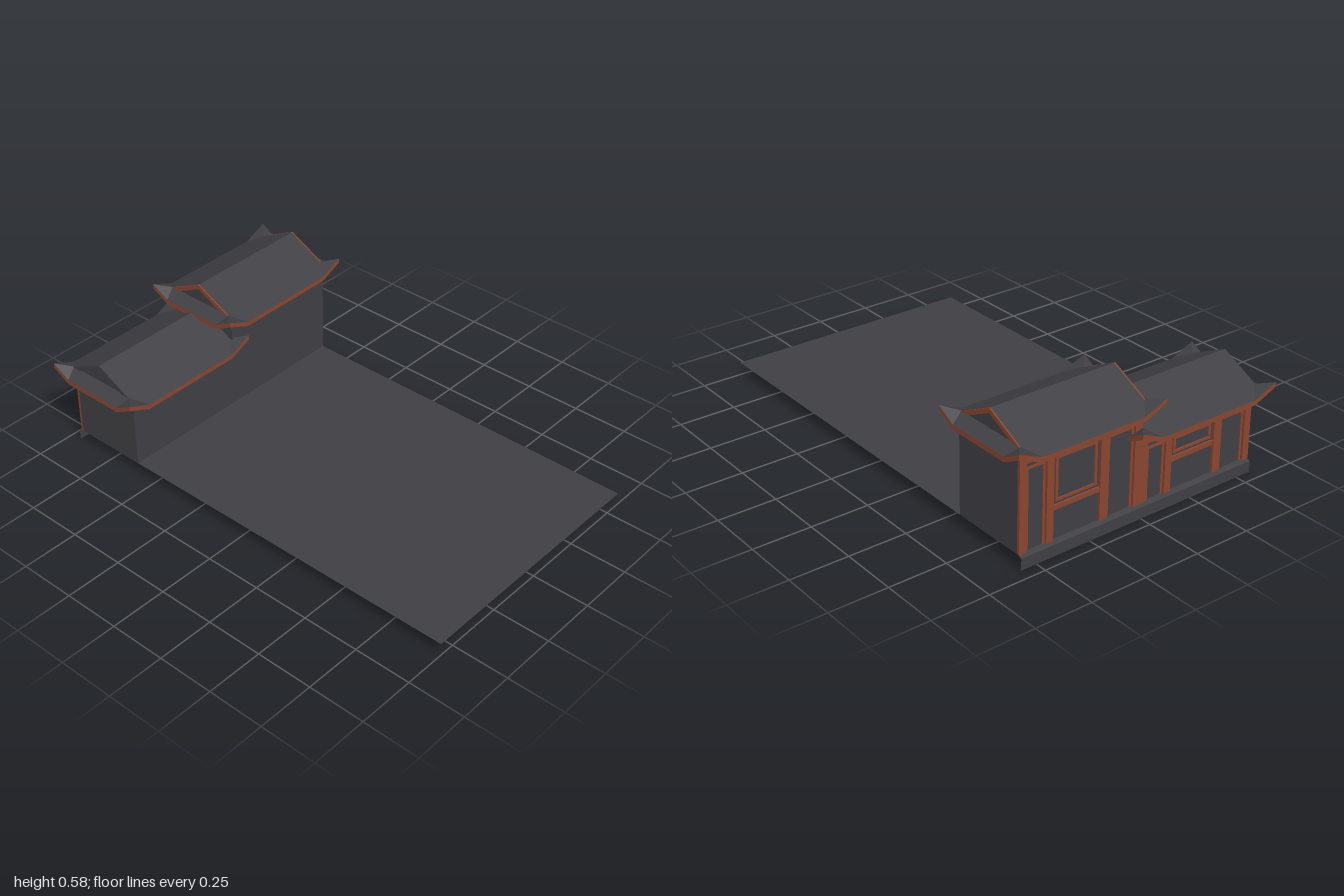
import * as THREE from 'three';

const DS = THREE.DoubleSide;
const slate = new THREE.MeshStandardMaterial({ color: 0x403f44, side: DS });
slate.name = 'slate grey';
const timber = new THREE.MeshStandardMaterial({ color: 0x8a4631, side: DS });
timber.name = 'red brown timber';

const GROUND = 0.057;

// Flat-faced mesh from a list of convex polygons
function faces(name, polygons, material) {
  const pos = [];
  for (const p of polygons) {
    for (let i = 1; i < p.length - 1; i++) pos.push(...p[0], ...p[i], ...p[i + 1]);
  }
  const g = new THREE.BufferGeometry();
  g.setAttribute('position', new THREE.Float32BufferAttribute(pos, 3));
  g.computeVertexNormals();
  const m = new THREE.Mesh(g, material);
  m.name = name;
  return m;
}

// Box given by its limits
function box(name, x0, x1, y0, y1, z0, z1, material) {
  const m = new THREE.Mesh(new THREE.BoxGeometry(x1 - x0, y1 - y0, z1 - z0), material);
  m.position.set((x0 + x1) / 2, (y0 + y1) / 2, (z0 + z1) / 2);
  m.name = name;
  return m;
}

// Hip-and-gable roof with upturned corners; y is measured from the eave
function createRoof(trimMaterial) {
  const roof = new THREE.Group();
  roof.name = 'roof';
  const R = (sz) => [0, 0.113, 0.285 * sz];
  const G = (sx, sz) => [0.167 * sx, 0.03, 0.285 * sz];
  const E = (sx, sz) => [0.228 * sx, 0, 0.235 * sz];
  const F = (sx, sz) => [0.145 * sx, 0, 0.34 * sz];
  const C = (sx, sz) => [0.228 * sx, 0.045, 0.34 * sz];

  const tiles = [], gables = [];
  const add = (list, flip, p) => list.push(flip ? p.reverse() : p);
  for (const s of [1, -1]) {
    add(tiles, s < 0, [R(1), G(s, 1), E(s, 1), E(s, -1), G(s, -1), R(-1)]);
    add(tiles, s < 0, [G(1, s), G(-1, s), F(-1, s), F(1, s)]);
    add(gables, s < 0, [R(s), G(-1, s), G(1, s)]);
    for (const t of [1, -1]) {
      add(tiles, s * t < 0, [G(s, t), F(s, t), C(s, t)]);
      add(tiles, s * t < 0, [G(s, t), C(s, t), E(s, t)]);
    }
  }
  roof.add(faces('roofTiles', tiles, slate), faces('gableWalls', gables, slate));

  // Eave band and soffit follow the same outline
  const outline = [
    F(-1, 1), F(1, 1), C(1, 1), E(1, 1), E(1, -1), C(1, -1),
    F(1, -1), F(-1, -1), C(-1, -1), E(-1, -1), E(-1, 1), C(-1, 1),
  ];
  const low = (p) => [p[0], p[1] - 0.021, p[2]];
  const band = [], soffit = [];
  outline.forEach((p, i) => {
    const q = outline[(i + 1) % outline.length];
    band.push([low(p), low(q), q, p]);
    soffit.push([[0, -0.021, 0], low(q), low(p)]);
  });
  roof.add(faces('eaveBand', band, timber), faces('soffit', soffit, timber));

  // Rake boards on both gables
  const shape = new THREE.Shape();
  [[-0.167, 0.03], [-0.125, 0.03], [0, 0.092], [0.125, 0.03], [0.167, 0.03], [0, 0.113]]
    .forEach(([x, y], i) => (i ? shape.lineTo(x, y) : shape.moveTo(x, y)));
  for (const s of [1, -1]) {
    const g = new THREE.ExtrudeGeometry(shape, { depth: 0.006, bevelEnabled: false });
    const rake = new THREE.Mesh(g, s > 0 ? trimMaterial : timber);
    rake.position.z = s > 0 ? 0.285 : -0.291;
    rake.name = 'rakeBoard';
    roof.add(rake);
  }
  return roof;
}

// House: walls, timber street front on the -x side, and roof
function createHouse(name, z, eave, trimMaterial) {
  const house = new THREE.Group();
  house.name = name;
  const top = eave - 0.021;
  house.add(box('walls', -0.925, -0.59, GROUND, top, -0.285, 0.285, slate));

  const front = new THREE.Group();
  front.name = 'streetFront';
  const bar = (label, y0, y1, z0, z1, d) =>
    front.add(box(label, -0.925 - d, -0.92, y0, y1, z0 - 0.285, z1 - 0.285, timber));
  for (const c of [0.016, 0.14, 0.39, 0.554]) bar('post', GROUND, top, c - 0.016, c + 0.016, 0.012);
  bar('topBeam', top - 0.03, top, 0, 0.57, 0.008);
  bar('middleRail', 0.18, 0.2, 0.156, 0.374, 0.008);
  // Window frame in the middle bay
  bar('windowHead', top - 0.06, top - 0.048, 0.168, 0.362, 0.006);
  bar('windowSill', 0.212, 0.222, 0.168, 0.362, 0.006);
  for (const c of [0.174, 0.356]) bar('windowSide', 0.212, top - 0.048, c - 0.006, c + 0.006, 0.006);
  // Door frames in the narrow bays
  for (const [a, b] of [[0.04, 0.116], [0.416, 0.53]]) {
    for (const c of [a, b]) bar('doorSide', GROUND, top - 0.048, c - 0.005, c + 0.005, 0.005);
    bar('doorHead', top - 0.058, top - 0.048, a, b, 0.005);
  }
  house.add(front);

  const roof = createRoof(trimMaterial);
  roof.position.set(-0.772, eave, 0);
  house.add(roof);
  house.position.z = z;
  return house;
}

export function createModel() {
  const model = new THREE.Group();
  model.name = 'streetHouses';

  // Ground sheet with a kerb dropping along the street
  const a = 0.57;
  const strip = (x0, y0, x1, y1) => [[x0, y0, -a], [x0, y0, a], [x1, y1, a], [x1, y1, -a]];
  model.add(faces('ground', [strip(-0.93, GROUND, 1, GROUND)], slate));
  model.add(faces('kerb', [
    strip(-0.95, 0.049, -0.93, GROUND),
    strip(-0.95, 0, -0.95, 0.049),
  ], slate));

  model.add(createHouse('tallHouse', -0.285, 0.465, timber));
  model.add(createHouse('lowHouse', 0.285, 0.351, slate));
  return model;
}
